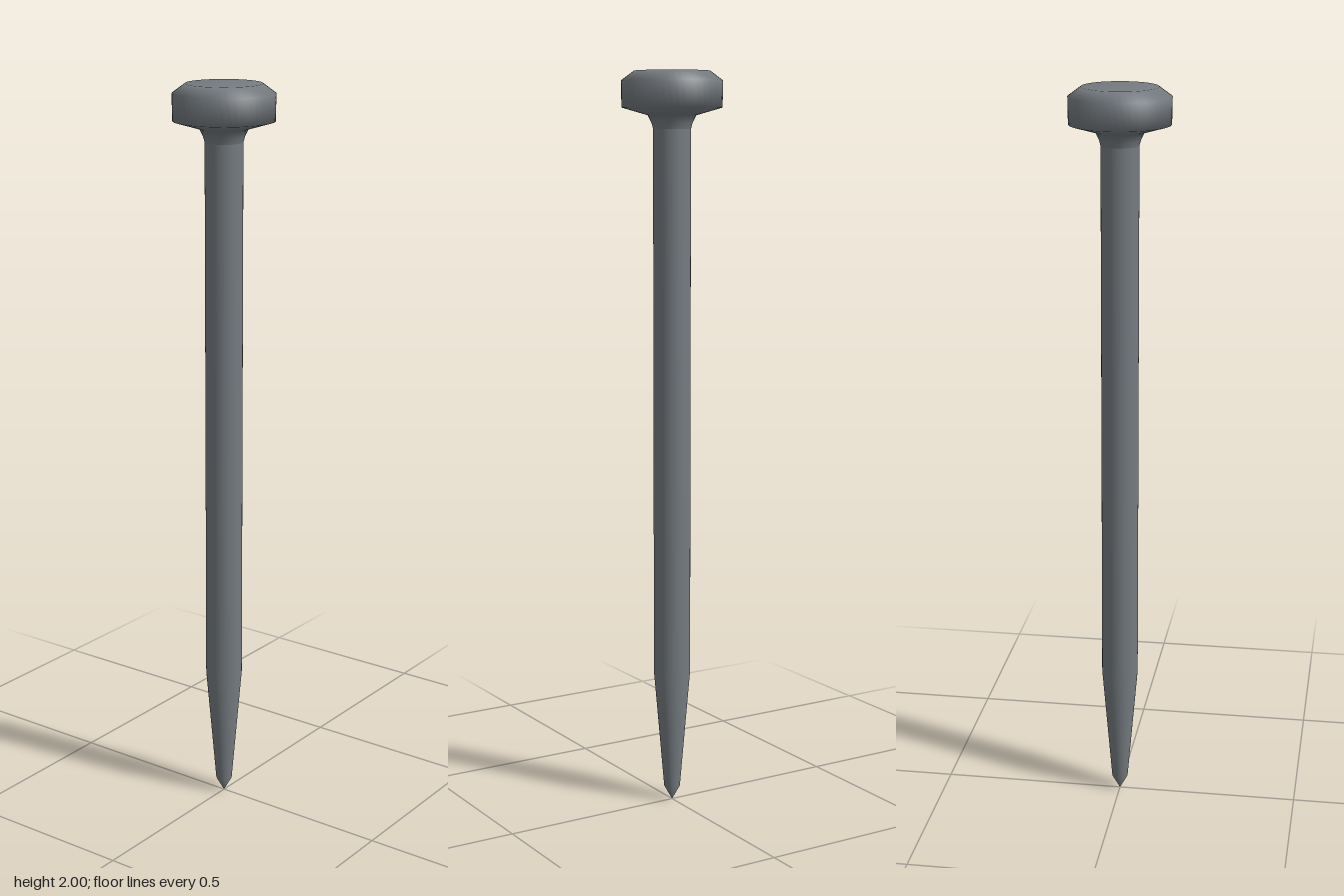
import * as THREE from 'three';

const SEGMENTS = 48;

// Smooth turned part from [radius, height] pairs, listed bottom to top
function turned(name, profile, material) {
  const points = profile.map(([r, y]) => new THREE.Vector2(r, y));
  const mesh = new THREE.Mesh(new THREE.LatheGeometry(points, SEGMENTS), material);
  mesh.name = name;
  return mesh;
}

export function createModel() {
  const group = new THREE.Group();
  group.name = 'nail';
  const steel = new THREE.MeshStandardMaterial({ color: 0x757b80 });

  // Blunt tip, long taper and straight shank
  group.add(turned('shank', [
    [0, 0], [0.022, 0.04], [0.05, 0.37], [0.05, 1.85],
  ], steel));

  // Flared neck, sloping underside, rim and bevelled flat top
  group.add(turned('head', [
    [0.05, 1.85], [0.054, 1.865], [0.064, 1.885], [0.133, 1.905],
    [0.134, 1.975], [0.1, 2], [0, 2],
  ], steel));

  return group;
}
